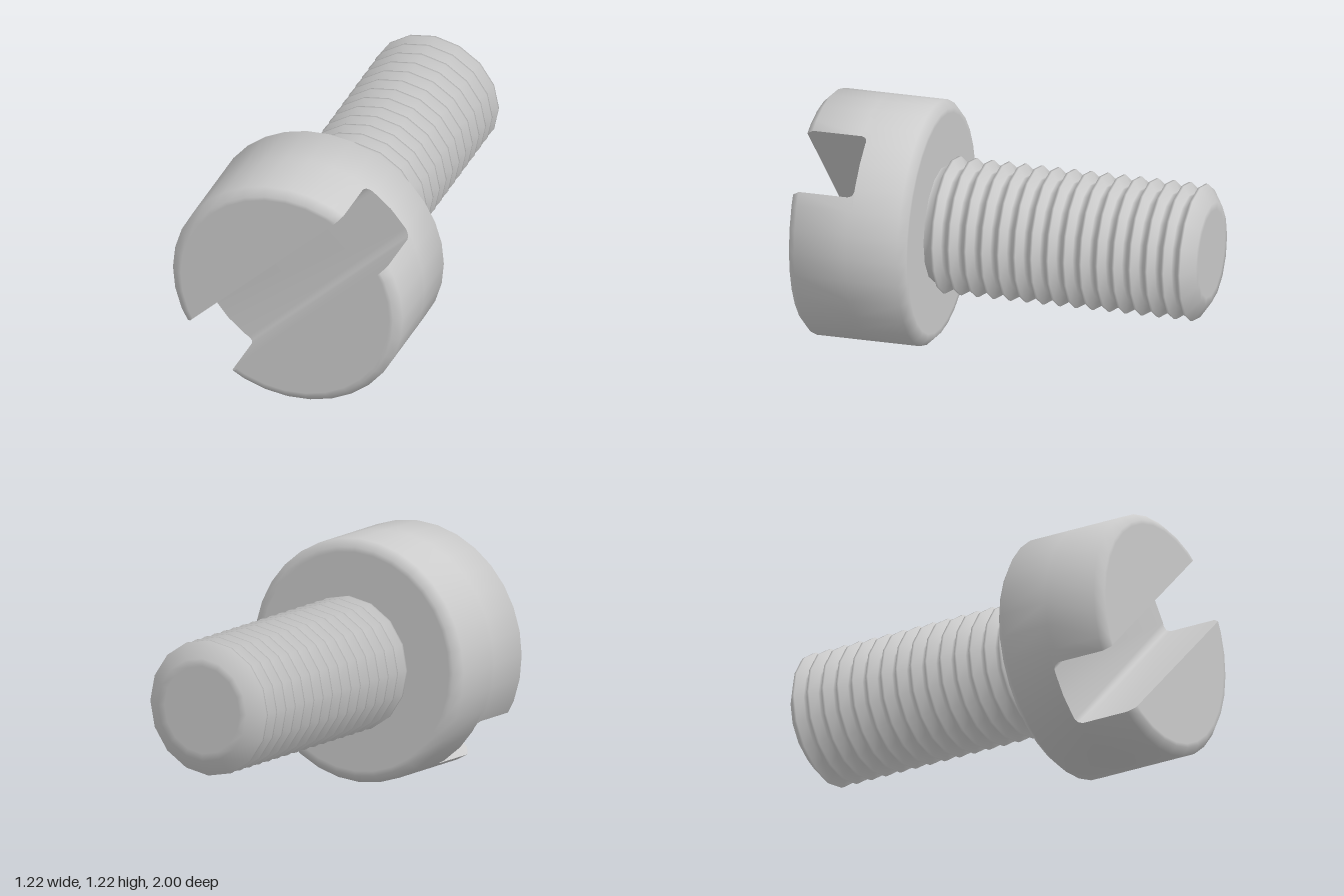
import * as THREE from 'three';
import { mergeGeometries, toCreasedNormals } from 'three/addons/utils/BufferGeometryUtils.js';

const R = 0.612, RIM = 0.575, BACK = 0.395, FLOOR = 0.68, SIDES = 32;
const SLOT = 0.167, FILLET = 0.03;
const STEP = (Math.PI * 2) / SIDES;

const corner = (k, r) => [r * Math.cos(k * STEP), r * Math.sin(k * STEP)];

// Point where the head's outline meets the slot wall at height d
function crossing(r, d) {
  const [x1, y1] = corner(1, r), [x2, y2] = corner(2, r);
  return [x1 + (x2 - x1) * (d - y1) / (y2 - y1), d];
}

// Outline of the half of the head above the slot, anticlockwise
function jawOutline(r, d) {
  const [x, y] = crossing(r, d);
  const pts = [[x, y]];
  for (let k = 2; k <= SIDES / 2 - 2; k++) pts.push(corner(k, r));
  pts.push([-x, y]);
  return pts;
}

function plain(geometry) {
  const g = geometry.index ? geometry.toNonIndexed() : geometry;
  g.deleteAttribute('uv');
  g.deleteAttribute('normal');
  return g;
}

function flatFace(pts, z) {
  const shape = new THREE.Shape(pts.map(p => new THREE.Vector2(...p)));
  return plain(new THREE.ShapeGeometry(shape).translate(0, 0, z));
}

// Surface joining equal-length outlines, listed from back to front
function loft(levels) {
  const pos = [];
  for (let l = 0; l + 1 < levels.length; l++) {
    const a = levels[l], b = levels[l + 1], n = a.pts.length;
    for (let i = 0; i < n; i++) {
      const j = (i + 1) % n;
      const a0 = [...a.pts[i], a.z], a1 = [...a.pts[j], a.z];
      const b0 = [...b.pts[i], b.z], b1 = [...b.pts[j], b.z];
      pos.push(...a0, ...a1, ...b1, ...a0, ...b1, ...b0);
    }
  }
  const g = new THREE.BufferGeometry();
  g.setAttribute('position', new THREE.Float32BufferAttribute(pos, 3));
  return g;
}

// Turned part with its axis along z; profile is [radius, z] from back to front
function turned(profile, sides) {
  return new THREE.LatheGeometry(profile.map(p => new THREE.Vector2(...p)), sides).rotateX(Math.PI / 2);
}

function headGeometry() {
  const parts = [];

  // Solid rear disc with chamfered shoulder
  parts.push(plain(turned([[0, BACK], [0.55, BACK], [RIM, BACK], [R, BACK + 0.037], [R, FLOOR]], SIDES)));

  // Slot floor
  const [x, y] = crossing(R, SLOT - FILLET);
  const floor = [[-x, -y], [x, -y], corner(-1, R), corner(0, R), corner(1, R), [x, y], [-x, y]];
  for (const k of [15, 16, 17]) floor.push(corner(k, R));
  parts.push(flatFace(floor, FLOOR));

  // Two jaws either side of the slot, filleted at the floor
  const jaw = [
    [FLOOR, R, SLOT - FILLET], [FLOOR + 0.009, R, SLOT - 0.009], [FLOOR + FILLET, R, SLOT],
    [0.963, R, SLOT], [1, RIM, SLOT], [1, 0.555, SLOT],
  ].map(([z, r, d]) => ({ z, pts: jawOutline(r, d) }));
  for (const turn of [0, Math.PI]) {
    parts.push(loft(jaw).rotateZ(turn));
    parts.push(flatFace(jaw[jaw.length - 1].pts, 1).rotateZ(turn));
  }
  return toCreasedNormals(mergeGeometries(parts), 0.9);
}

function shankGeometry() {
  // Chamfered tip, then ring-shaped thread ridges up to the head
  const profile = [[0, -1], [0.22, -1], [0.258, -1]];
  const pitch = 0.0849, root = 0.29, crest = 0.34;
  for (let i = 15; i >= 0; i--) {
    const c = 0.337 - i * pitch;
    if (i < 15) profile.push([root, c - pitch / 2 + 0.011]);
    profile.push([crest, c - 0.006], [crest, c + 0.006]);
    profile.push([root, c + pitch / 2 - 0.011]);
  }
  profile.push([root, BACK + 0.01]);
  return turned(profile, 16);
}

export function createModel() {
  const material = new THREE.MeshStandardMaterial({ color: 0xcccccc });
  const group = new THREE.Group();
  group.name = 'slottedScrew';

  const head = new THREE.Mesh(headGeometry(), material);
  head.name = 'slottedHead';
  head.rotation.z = Math.PI / 4;

  const shank = new THREE.Mesh(shankGeometry(), material);
  shank.name = 'threadedShank';

  for (const part of [head, shank]) {
    part.position.y = R;
    group.add(part);
  }
  return group;
}
